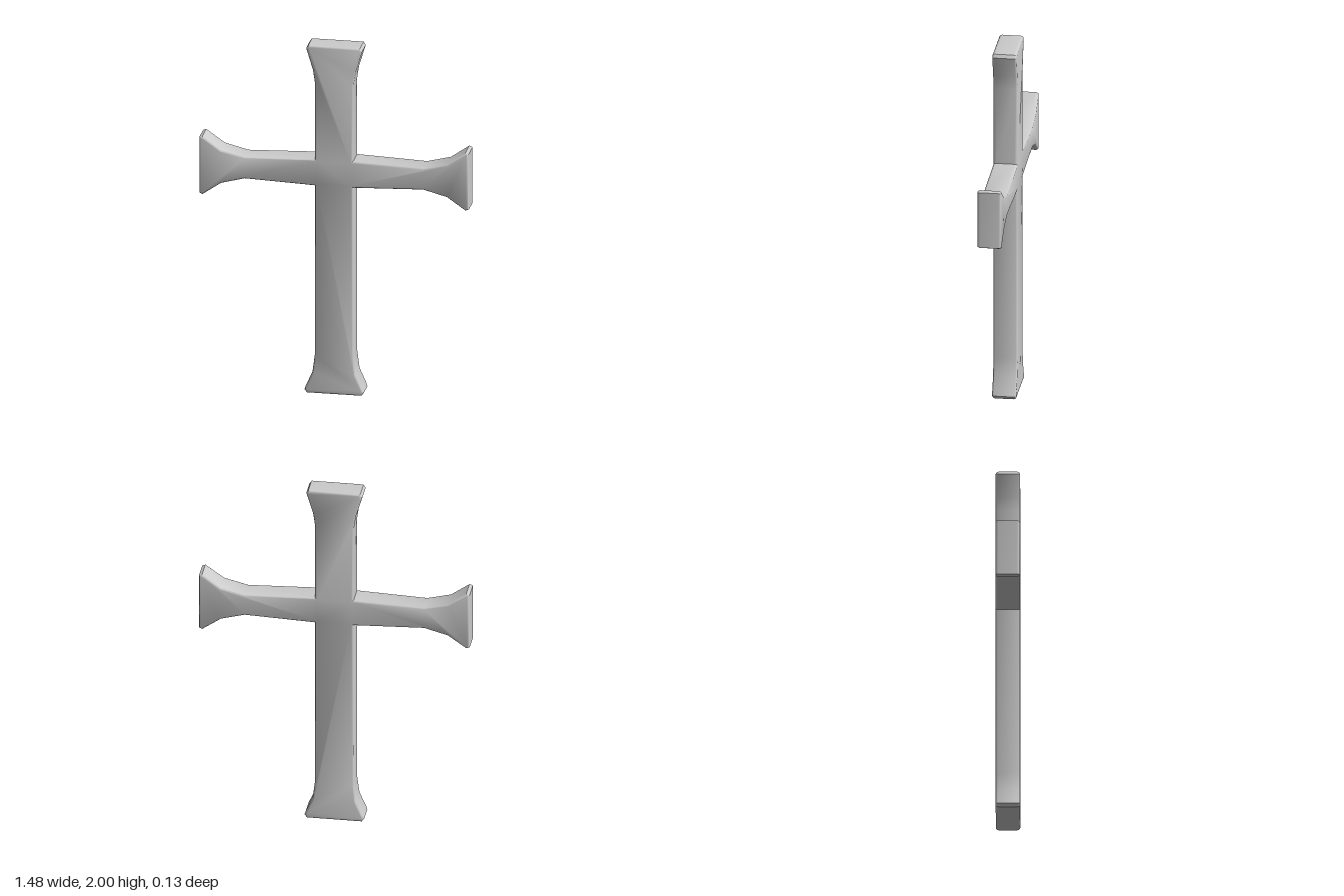
import * as THREE from 'three';
import { toCreasedNormals } from 'three/addons/utils/BufferGeometryUtils.js';

export function createModel() {
  const group = new THREE.Group();
  const material = new THREE.MeshStandardMaterial({ color: 0xcccccc });

  // Right half of the outline, from the foot up to the top
  const half = [
    [0.15, 0], [0.163, 0.018], [0.157, 0.037], [0.12, 0.12], [0.107, 0.22], // flared foot
    [0.106, 1.195], [0.49, 1.21], [0.62, 1.175], [0.722, 1.104], [0.74, 1.112], // arm underside
    [0.74, 1.432], [0.722, 1.44], [0.62, 1.368], [0.49, 1.335], [0.106, 1.35], // arm top
    [0.106, 1.785], [0.117, 1.86], [0.148, 1.962], [0.154, 1.982], [0.142, 2], // flared head
  ];
  const mirrored = half.map(([x, y]) => [-x, y]).reverse();
  const shape = new THREE.Shape([...half, ...mirrored].map(([x, y]) => new THREE.Vector2(x, y)));

  // Slab with rounded edges, the bevel cut inward from the outline
  const halfDepth = 0.066, bevel = 0.016, inset = 0.012;
  const geometry = new THREE.ExtrudeGeometry(shape, {
    depth: 2 * (halfDepth - bevel),
    bevelEnabled: true,
    bevelThickness: bevel,
    bevelSize: inset,
    bevelOffset: -inset,
    bevelSegments: 4,
  });
  geometry.translate(0, 0, bevel - halfDepth);

  const cross = new THREE.Mesh(toCreasedNormals(geometry, 0.75), material);
  cross.name = 'cross';
  group.add(cross);
  return group;
}
